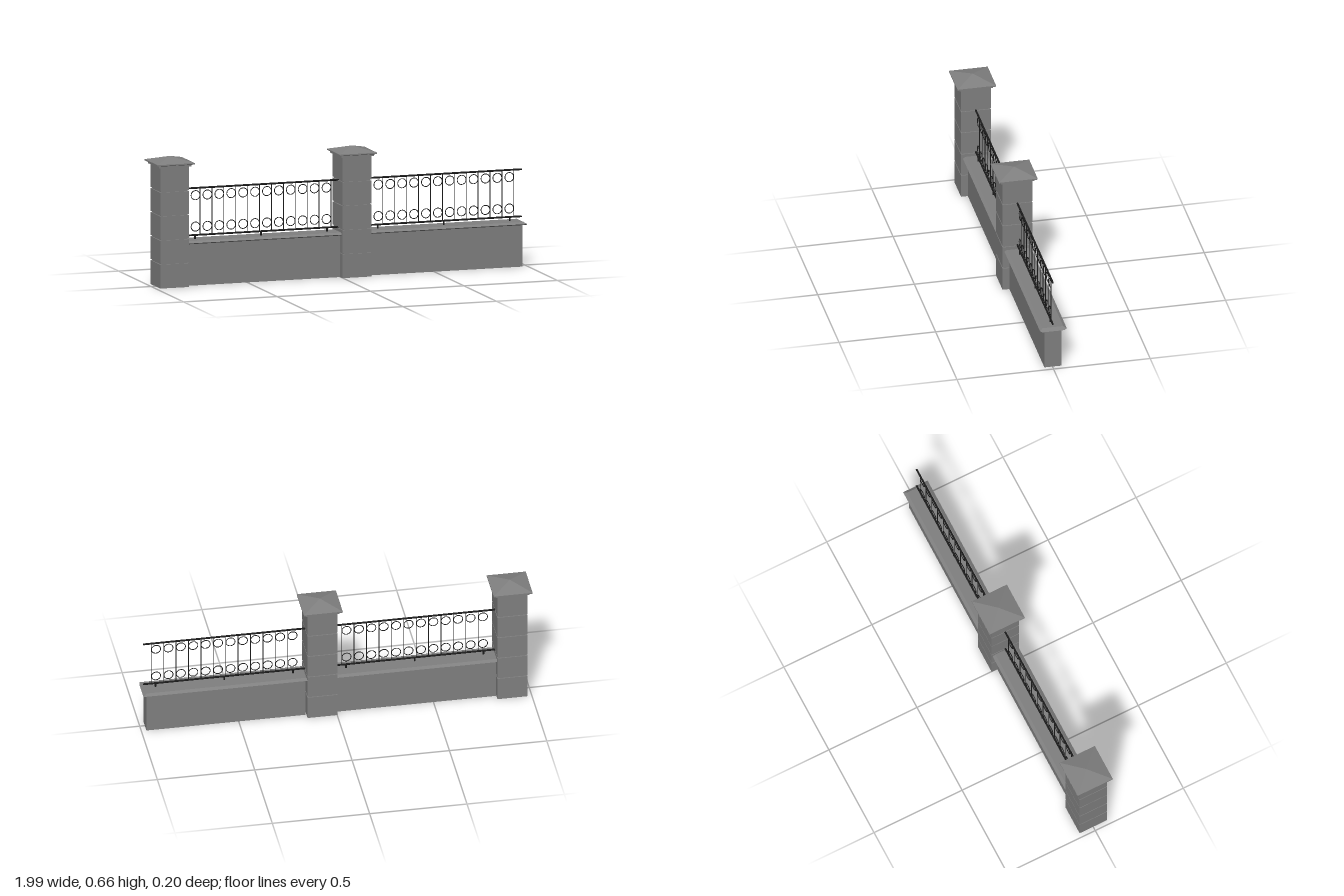
import * as THREE from 'three';

const stone = new THREE.MeshStandardMaterial({ color: 0x808080 });
const iron = new THREE.MeshStandardMaterial({ color: 0x1c1c1c });

function add(parent, name, geometry, material, x, y, z) {
  const mesh = new THREE.Mesh(geometry, material);
  mesh.name = name;
  mesh.position.set(x, y, z);
  parent.add(mesh);
  return mesh;
}

// Box from y0 to y1 whose top and bottom rectangles may differ
function taperedBox(w0, d0, w1, d1, y0, y1) {
  const g = new THREE.BoxGeometry(1, 1, 1);
  const p = g.attributes.position;
  for (let i = 0; i < p.count; i++) {
    const top = p.getY(i) > 0;
    p.setXYZ(i, p.getX(i) * (top ? w1 : w0), top ? y1 : y0, p.getZ(i) * (top ? d1 : d0));
  }
  g.computeVertexNormals();
  return g;
}
const slab = (w, d, y0, y1) => taperedBox(w, d, w, d, y0, y1);

function createPillar(x) {
  const pillar = new THREE.Group();
  pillar.name = 'pillar';
  pillar.position.x = x;
  // Stacked blocks separated by recessed joints
  const blocks = [[0, 0.122], [0.129, 0.245], [0.252, 0.369], [0.375, 0.491], [0.498, 0.618]];
  blocks.forEach(([y0, y1], i) => {
    add(pillar, 'pillarBlock', slab(0.154, 0.154, y0, y1), stone, 0, 0, 0);
    if (i > 0) add(pillar, 'pillarJoint', slab(0.142, 0.142, blocks[i - 1][1], y0), stone, 0, 0, 0);
  });
  // Cap: neck, flared underside, edge band and low pyramid
  add(pillar, 'capNeck', slab(0.174, 0.174, 0.618, 0.627), stone, 0, 0, 0);
  add(pillar, 'capUnderside', taperedBox(0.176, 0.176, 0.2, 0.2, 0.627, 0.631), stone, 0, 0, 0);
  add(pillar, 'capEdge', slab(0.2, 0.2, 0.631, 0.637), stone, 0, 0, 0);
  const roof = new THREE.ConeGeometry(0.1 * Math.SQRT2, 0.027, 4, 1).toNonIndexed();
  roof.rotateY(Math.PI / 4);
  roof.computeVertexNormals();
  add(pillar, 'capRoof', roof, stone, 0, 0.6505, 0);
  return pillar;
}

function createFenceSection(x) {
  const section = new THREE.Group();
  section.name = 'fenceSection';
  section.position.x = x;

  // Low wall and its bevelled coping
  add(section, 'wall', slab(0.816, 0.087, 0, 0.216), stone, 0, 0, -0.002);
  add(section, 'copingUnderside', taperedBox(0.836, 0.116, 0.82, 0.139, 0.215, 0.221).scale(1.02, 1, 1), stone, 0, 0, -0.002);
  add(section, 'copingTop', taperedBox(0.82 * 1.02 + 0.012, 0.139, 0.82, 0.107, 0.221, 0.23), stone, 0, 0, -0.002);

  // Horizontal rails
  for (const y of [0.251, 0.492]) {
    const rail = add(section, 'rail', new THREE.CylinderGeometry(0.0048, 0.0048, 0.832, 12), iron, 0, y, 0);
    rail.rotation.z = Math.PI / 2;
  }
  // Feet that carry the lower rail
  for (const fx of [-0.353, 0, 0.353]) {
    add(section, 'railFoot', new THREE.CylinderGeometry(0.0042, 0.0042, 0.024, 10), iron, fx, 0.239, 0);
  }
  // Rings in two rows, each column with a baluster at its edge
  const count = 12, pitch = 0.0637;
  const ring = new THREE.TorusGeometry(0.0235, 0.0021, 8, 28);
  const bar = new THREE.CylinderGeometry(0.002, 0.002, 0.241, 8);
  for (let i = 0; i < count; i++) {
    const cx = (i - (count - 1) / 2) * pitch;
    for (const y of [0.294, 0.455]) add(section, 'ring', ring, iron, cx, y, 0);
    add(section, 'baluster', bar, iron, cx + 0.0245, 0.3715, 0);
  }
  return section;
}

export function createModel() {
  const model = new THREE.Group();
  model.name = 'wallWithRailing';
  for (const x of [-0.9, 0.075]) model.add(createPillar(x));
  for (const x of [-0.412, 0.566]) model.add(createFenceSection(x));
  return model;
}
